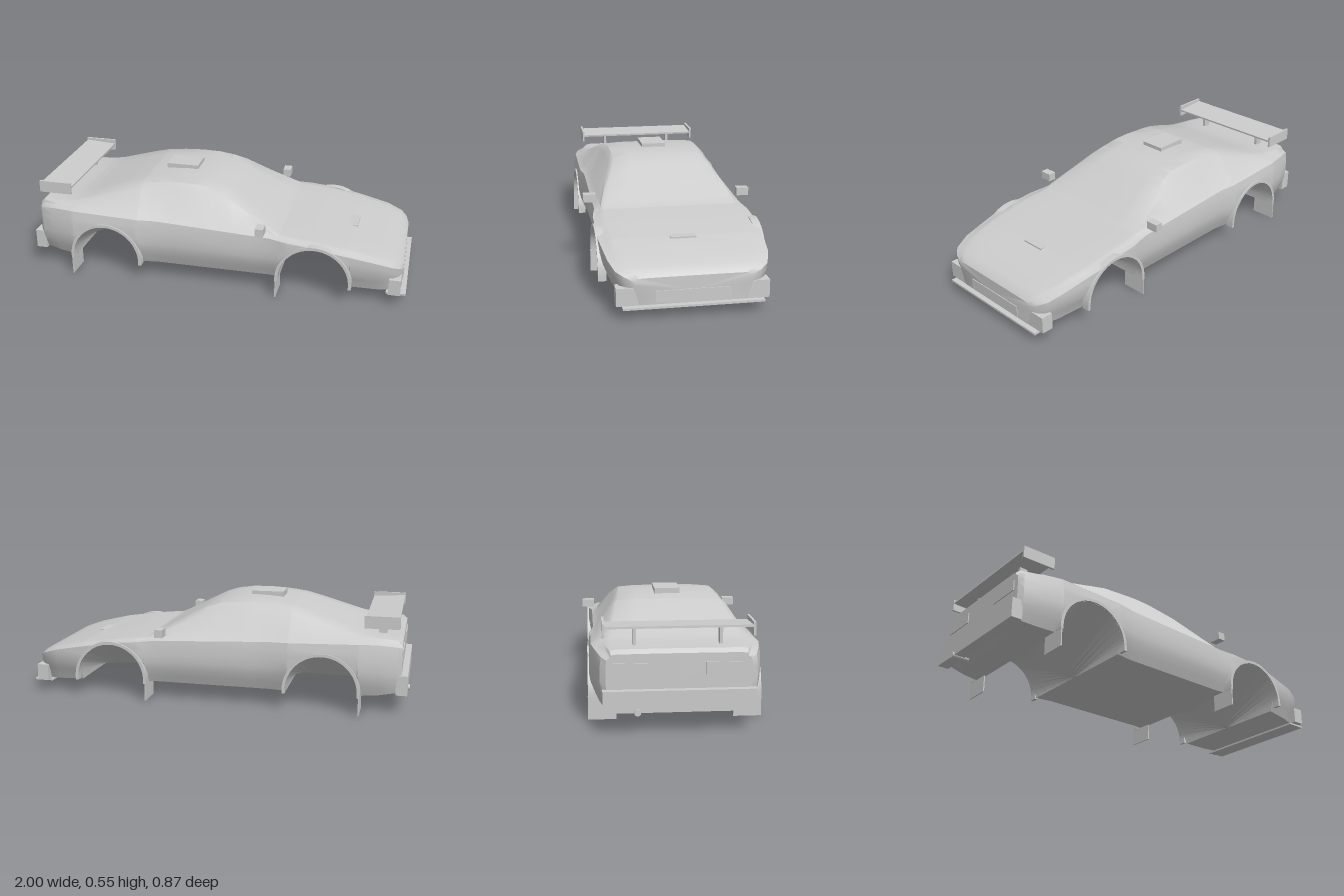
import * as THREE from 'three';
import { toCreasedNormals } from 'three/addons/utils/BufferGeometryUtils.js';

const FLOOR = [[-0.96, 0.12], [-0.93, 0.1], [-0.8, 0.09], [0.5, 0.09], [0.75, 0.075], [0.975, 0.062]];
const TOP = [[-0.96, 0.362], [-0.94, 0.38], [-0.85, 0.383], [-0.77, 0.39], [-0.7, 0.408], [-0.6, 0.442], [-0.5, 0.476],
  [-0.4, 0.506], [-0.3, 0.521], [-0.2, 0.527], [-0.1, 0.525], [-0.02, 0.514], [0.05, 0.49], [0.1, 0.463], [0.2, 0.408],
  [0.3, 0.352], [0.35, 0.328], [0.5, 0.312], [0.7, 0.284], [0.85, 0.25], [0.93, 0.225], [0.96, 0.207], [0.975, 0.19]];
const SHOULDER = [[-0.96, 0.335], [-0.93, 0.35], [-0.8, 0.36], [-0.3, 0.345], [0.3, 0.318], [0.53, 0.298], [0.7, 0.268],
  [0.9, 0.228], [0.96, 0.195], [0.975, 0.175]];
const WIDTH = [[-0.96, 0.33], [-0.94, 0.355], [-0.85, 0.382], [-0.75, 0.402], [-0.4, 0.402], [-0.3, 0.386], [0.3, 0.384],
  [0.4, 0.4], [0.66, 0.4], [0.85, 0.378], [0.93, 0.352], [0.96, 0.32], [0.975, 0.28]];
const ROOF = [[-0.96, 0.3], [-0.85, 0.325], [-0.6, 0.3], [-0.3, 0.262], [0, 0.258], [0.15, 0.295], [0.3, 0.338],
  [0.4, 0.355], [0.7, 0.35], [0.9, 0.315], [0.975, 0.25]];
const TUCK = [[0.06, 0.86], [0.1, 0.9], [0.16, 0.97], [0.21, 1], [0.3, 1], [0.36, 0.975]];
const ARCHES = [-0.57, 0.535];
const R = 0.18, ARCH_Y = 0.11;

// Linear interpolation through a short list of [position, value]
function at(keys, x) {
  if (x <= keys[0][0]) return keys[0][1];
  for (let i = 1; i < keys.length; i++) {
    const [x0, v0] = keys[i - 1], [x1, v1] = keys[i];
    if (x <= x1) return v0 + (v1 - v0) * (x - x0) / (x1 - x0);
  }
  return keys[keys.length - 1][1];
}

// Closed cross-section of the shell at one position along its length, as [z, y]
function section(x) {
  const floor = at(FLOOR, x), top = at(TOP, x), ys = at(SHOULDER, x), w = at(WIDTH, x), wr = at(ROOF, x);
  let sill = floor;
  for (const c of ARCHES) {
    const d = Math.abs(x - c);
    if (d < R + 0.0001) sill = ARCH_Y + Math.sqrt(Math.max(0, R * R - d * d));
  }
  const half = [[0, floor]];
  for (let k = 0; k <= 6; k++) {
    const y = sill + (ys - sill) * k / 6;
    half.push([w * at(TUCK, y), y]);
  }
  const h = top - ys, ws = half[7][0];
  half.push([Math.max(ws - 0.03, wr + 0.008), ys + Math.min(0.02, 0.4 * h)]);
  half.push([wr + 0.004 + 0.01 * Math.min(1, h / 0.15), top - 0.18 * h]);
  half.push([wr - 0.015, top - 0.05 * h], [wr * 0.6, top - 0.01 * h], [0, top]);
  return half.concat(half.slice(1, -1).reverse().map(([z, y]) => [-z, y]));
}

// Shell lofted through the cross-sections, with the wheel wells rising from a central ridge
function bodyGeometry() {
  const xs = [];
  for (const [x] of [...TOP, ...WIDTH]) xs.push(x);
  for (const c of ARCHES) {
    xs.push(c - R - 0.001, c + R + 0.001);
    for (let k = 0; k <= 16; k++) xs.push(c - R * Math.cos(Math.PI * k / 16));
  }
  xs.sort((a, b) => a - b);
  const stations = xs.filter((x, i) => i === 0 || x - xs[i - 1] > 0.0005);
  const pos = [], index = [];
  const n = section(0).length;
  for (const x of stations) for (const [z, y] of section(x)) pos.push(x, y, z);
  for (let i = 0; i < stations.length - 1; i++) {
    for (let j = 0; j < n; j++) {
      const k = (j + 1) % n;
      const a = i * n + j, b = i * n + k, c = a + n, d = b + n;
      index.push(a, c, b, b, c, d);
    }
  }
  // Tail and nose caps
  const last = (stations.length - 1) * n, mid = stations.length * n;
  pos.push(stations[0], 0.23, 0, stations[stations.length - 1], 0.12, 0);
  for (let j = 0; j < n; j++) {
    const k = (j + 1) % n;
    index.push(mid, j, k, mid + 1, last + k, last + j);
  }
  const g = new THREE.BufferGeometry();
  g.setAttribute('position', new THREE.Float32BufferAttribute(pos, 3));
  g.setIndex(index);
  return toCreasedNormals(g, 0.6);
}

// Half-ring lip around a wheel opening
function archGeometry() {
  const s = new THREE.Shape();
  s.absarc(0, 0, R + 0.015, 0, Math.PI, false);
  s.lineTo(-R - 0.015, -0.02);
  s.lineTo(-R, -0.02);
  s.lineTo(-R, 0);
  s.absarc(0, 0, R, Math.PI, 0, true);
  s.lineTo(R, -0.02);
  s.lineTo(R + 0.015, -0.02);
  const g = new THREE.ExtrudeGeometry(s, { depth: 0.04, bevelEnabled: false, curveSegments: 20 });
  g.translate(0, 0, -0.02);
  return toCreasedNormals(g, 0.6);
}

export function createModel() {
  const model = new THREE.Group();
  model.name = 'rallyCarBody';
  const paint = new THREE.MeshStandardMaterial({ color: 0xcccccc });
  paint.name = 'light grey';

  const add = (name, geometry, x = 0, y = 0, z = 0) => {
    const m = new THREE.Mesh(geometry, paint);
    m.name = name;
    m.position.set(x, y, z);
    model.add(m);
    return m;
  };
  // Box given by its limits on each axis
  const box = (name, x0, x1, y0, y1, z0, z1) =>
    add(name, new THREE.BoxGeometry(x1 - x0, y1 - y0, z1 - z0), (x0 + x1) / 2, (y0 + y1) / 2, (z0 + z1) / 2);
  const pair = (name, x0, x1, y0, y1, z0, z1) => {
    box(name + 'Left', x0, x1, y0, y1, z0, z1);
    box(name + 'Right', x0, x1, y0, y1, -z1, -z0);
  };

  add('bodyShell', bodyGeometry());

  // Wheel openings and mud flaps
  const arch = archGeometry();
  for (const c of ARCHES) {
    for (const s of [1, -1]) add('wheelArch', arch, c, ARCH_Y, s * 0.389);
    pair('mudFlap', c - 0.193, c - 0.187, 0, 0.115, 0.277, 0.41);
  }

  // Bumpers, splitter and plates
  box('frontBumper', 0.912, 0.972, 0.06, 0.145, -0.355, 0.355);
  box('splitter', 0.9, 1, 0.05, 0.06, -0.328, 0.328);
  box('frontGrille', 0.972, 0.979, 0.07, 0.127, -0.175, 0.175);
  box('rearBumper', -0.992, -0.935, 0.1, 0.2, -0.345, 0.345);
  pair('tailLight', -0.965, -0.957, 0.265, 0.32, 0.12, 0.3);
  const pipe = add('exhaust', new THREE.CylinderGeometry(0.016, 0.016, 0.09, 16), -0.955, 0.103, -0.19);
  pipe.rotation.z = Math.PI / 2;

  // Roof vent, bonnet vent and mirrors
  box('roofVent', -0.32, -0.15, 0.515, 0.545, -0.065, 0.065);
  box('bonnetVent', 0.655, 0.72, 0.277, 0.287, -0.062, 0.062);
  pair('mirror', 0.24, 0.282, 0.347, 0.388, 0.37, 0.434);

  // Rear wing
  const blade = add('wingBlade', new THREE.BoxGeometry(0.17, 0.01, 0.67), -0.857, 0.471, 0);
  blade.rotation.z = -0.06;
  pair('wingEndPlate', -0.945, -0.77, 0.432, 0.494, 0.332, 0.343);
  pair('wingStrut', -0.877, -0.835, 0.37, 0.47, 0.19, 0.205);

  return model;
}
